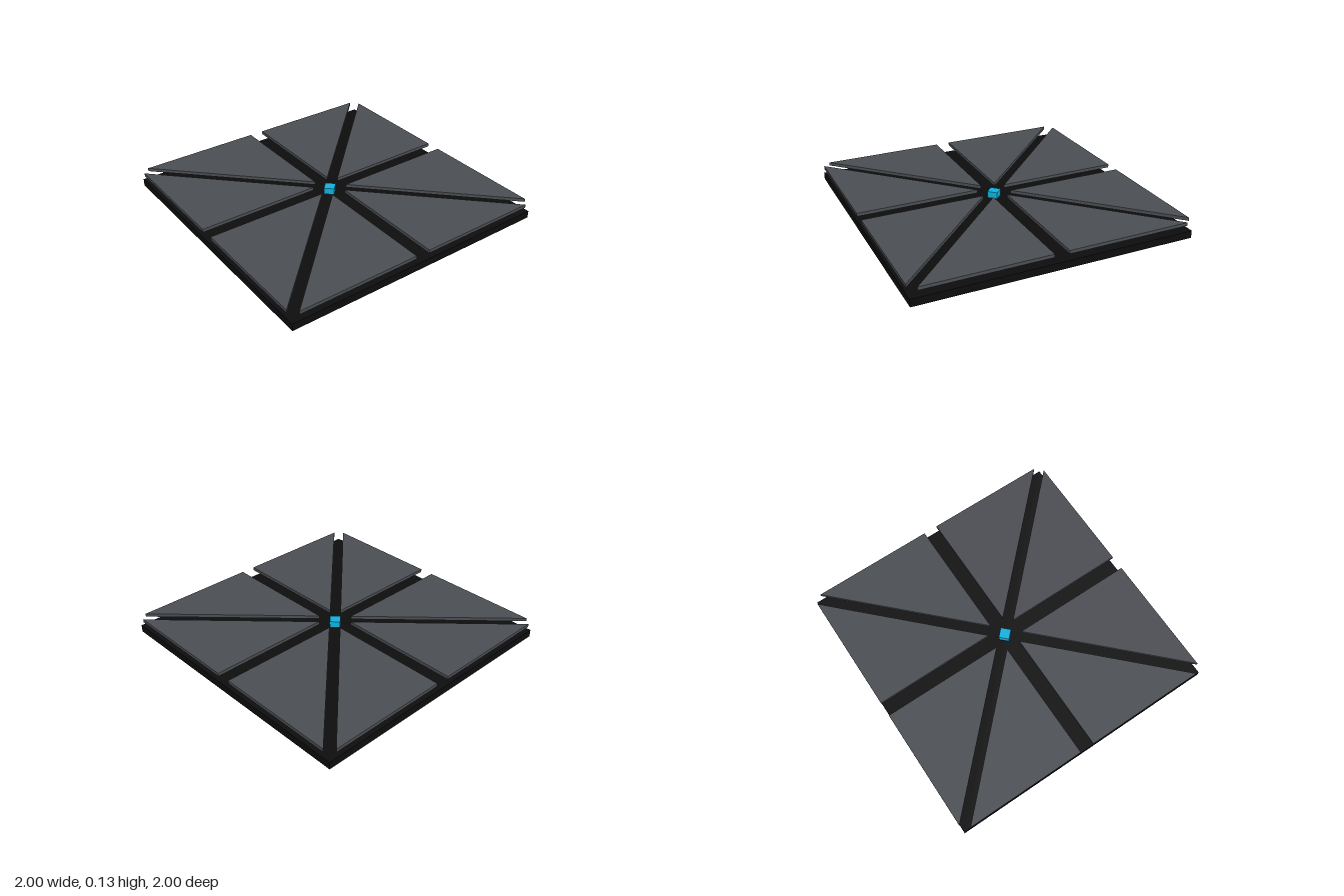
import * as THREE from 'three';

const material = (color) => new THREE.MeshStandardMaterial({ color, flatShading: true });

export function createModel() {
  const model = new THREE.Group();
  model.name = 'floorPanel';

  // Thin square slab underneath
  const base = new THREE.Mesh(new THREE.BoxGeometry(1.99, 0.053, 1.99), material(0x0d0d0d));
  base.name = 'base';
  base.position.y = 0.0265;
  model.add(base);

  // Eight floating triangular plates, separated by straight and diagonal gaps
  const gap = 0.053;
  const plateMaterial = material(0x4a4d52);
  for (let i = 0; i < 4; i++) {
    for (const side of [1, -1]) {
      const outline = new THREE.Shape([
        new THREE.Vector2(side * gap, 2 * gap),
        new THREE.Vector2(side * (1 - gap), 1),
        new THREE.Vector2(side * gap, 1),
      ]);
      const geometry = new THREE.ExtrudeGeometry(outline, { depth: 0.024, bevelEnabled: false });
      geometry.rotateX(-Math.PI / 2);
      geometry.rotateY((i * Math.PI) / 2);
      const plate = new THREE.Mesh(geometry, plateMaterial);
      plate.name = `plate${i * 2 + (side > 0 ? 1 : 2)}`;
      plate.position.y = 0.104;
      model.add(plate);
    }
  }

  // Diamond-shaped block hovering in the centre
  const core = new THREE.Mesh(new THREE.CylinderGeometry(0.053, 0.053, 0.048, 4), material(0x10b0dc));
  core.name = 'core';
  core.position.y = 0.104;
  model.add(core);

  return model;
}
